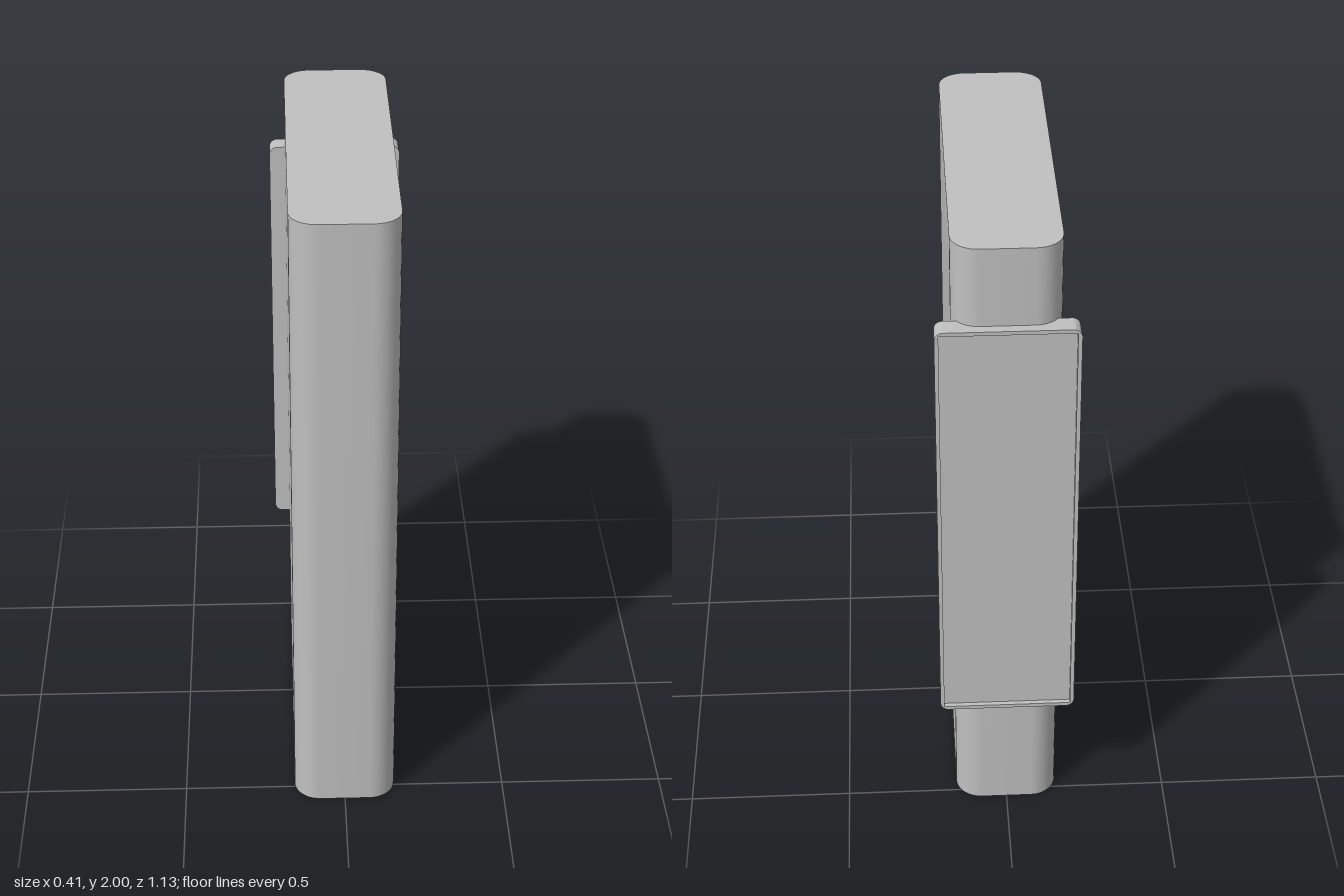
import * as THREE from 'three';
import { toCreasedNormals } from 'three/addons/utils/BufferGeometryUtils.js';

const ARC = 10; // segments per rounded corner

// Rounded rectangle in the xz plane at height y
function ring(w, d, r, y) {
  const pts = [];
  const corners = [[1, 1], [-1, 1], [-1, -1], [1, -1]];
  corners.forEach(([sx, sz], c) => {
    for (let i = 0; i <= ARC; i++) {
      const a = (c + i / ARC) * Math.PI / 2;
      pts.push(new THREE.Vector3(
        sx * (w / 2 - r) + r * Math.cos(a), y, sz * (d / 2 - r) + r * Math.sin(a)));
    }
  });
  return pts;
}

// Closed skin through a sequence of rings, skipping empty triangles
function loft(rings) {
  const pos = [];
  const tri = new THREE.Triangle();
  const add = (a, b, c) => {
    if (tri.set(a, b, c).getArea() > 1e-9) {
      for (const p of [a, b, c]) pos.push(p.x, p.y, p.z);
    }
  };
  for (let k = 0; k < rings.length - 1; k++) {
    const lo = rings[k], hi = rings[k + 1];
    for (let i = 0; i < lo.length; i++) {
      const j = (i + 1) % lo.length;
      add(lo[i], hi[i], lo[j]);
      add(lo[j], hi[i], hi[j]);
    }
  }
  const geo = new THREE.BufferGeometry();
  geo.setAttribute('position', new THREE.Float32BufferAttribute(pos, 3));
  return toCreasedNormals(geo, 0.6);
}

export function createModel() {
  const group = new THREE.Group();
  const grey = new THREE.MeshStandardMaterial({ color: 0xc0c0c0 });
  grey.name = 'grey';

  // Hollow sleeve, open at the bottom and closed at the top
  const W = 0.314, D = 1.096, R = 0.08, T = 0.036;
  const w = W - 2 * T, d = D - 2 * T, r = R - T;
  const sleeve = new THREE.Mesh(loft([
    ring(0, 0, 0, 2 - T),
    ring(w, d, r, 2 - T),
    ring(w, d, r, 0),
    ring(W, D, R, 0),
    ring(W, D, R, 2),
    ring(0, 0, 0, 2),
  ]), grey);
  sleeve.name = 'sleeve';
  sleeve.position.z = 0.014;
  group.add(sleeve);

  // Back plate with a shallow square-cornered recess
  const PW = 0.41, PH = 1.36, PR = 0.025, PD = 0.064, RIM = 0.012, RECESS = 0.015;
  const pw = PW - 2 * RIM, ph = PH - 2 * RIM;
  const plate = new THREE.Mesh(loft([
    ring(0, 0, 0, 0),
    ring(PW, PH, PR, 0),
    ring(PW, PH, PR, PD),
    ring(pw, ph, 0, PD),
    ring(pw, ph, 0, PD - RECESS),
    ring(0, 0, 0, PD - RECESS),
  ]), grey);
  plate.name = 'backPlate';
  plate.rotation.x = -Math.PI / 2;
  plate.position.set(0, 1.076, -0.5);
  group.add(plate);

  return group;
}
